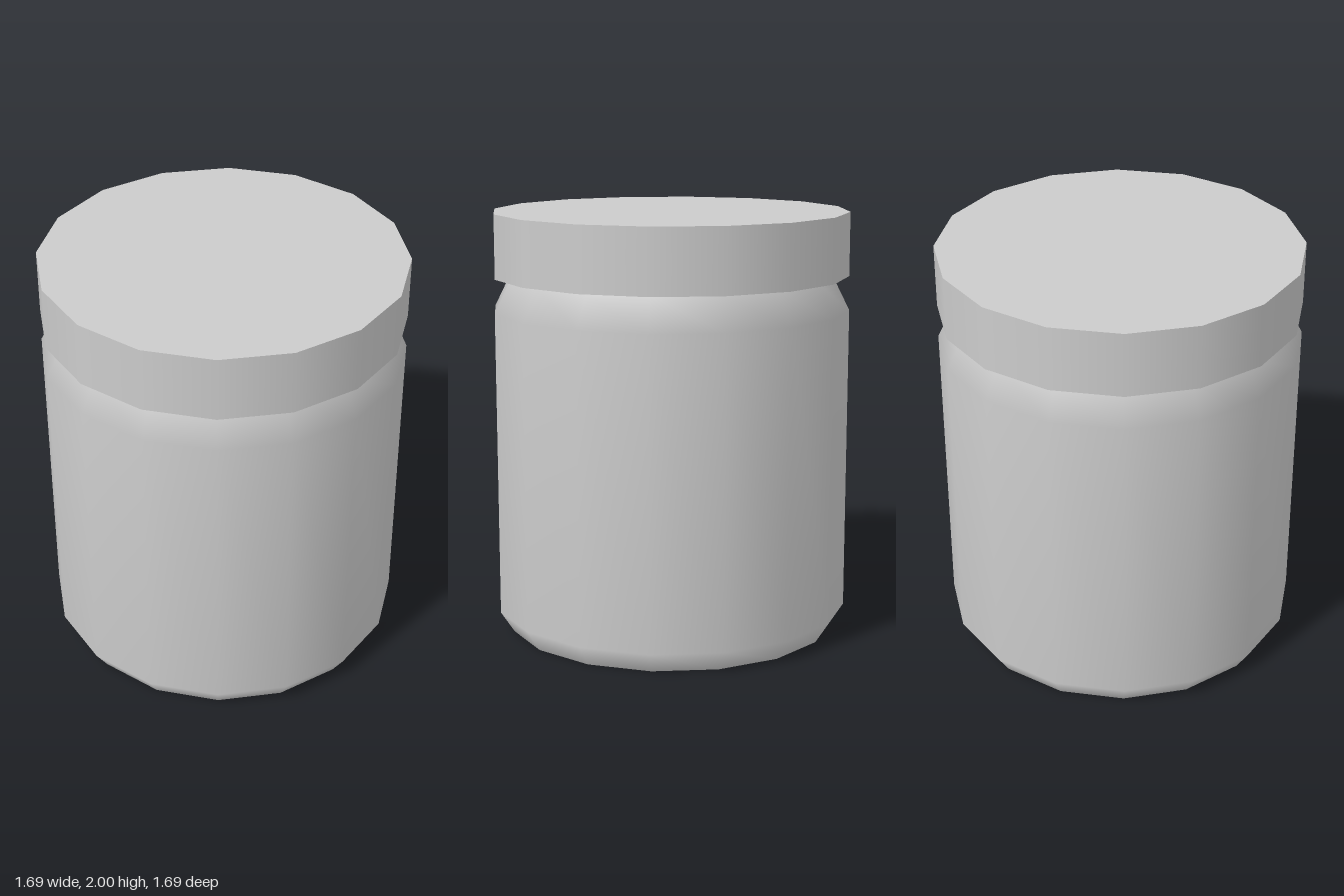
import * as THREE from 'three';

const SIDES = 16;

export function createModel() {
  const model = new THREE.Group();
  const material = new THREE.MeshStandardMaterial({ color: 0xcccccc });

  const add = (name, geometry, y) => {
    const mesh = new THREE.Mesh(geometry, material);
    mesh.name = name;
    mesh.position.y = y;
    model.add(mesh);
  };

  // Jar wall: bevelled foot, straight side, shoulder sloping in under the lid
  const profile = [[0.78, 0], [0.845, 0.1], [0.845, 1.54], [0.765, 1.7]]
    .map(([r, y]) => new THREE.Vector2(r, y));
  add('jarBody', new THREE.LatheGeometry(profile, SIDES), 0);

  // Flat base with a sharp edge
  add('jarBase', new THREE.CircleGeometry(0.78, SIDES).rotateX(Math.PI / 2), 0);

  // Closed lid, smooth around its side
  add('lid', new THREE.CylinderGeometry(0.842, 0.842, 0.3, SIDES), 1.85);

  return model;
}
